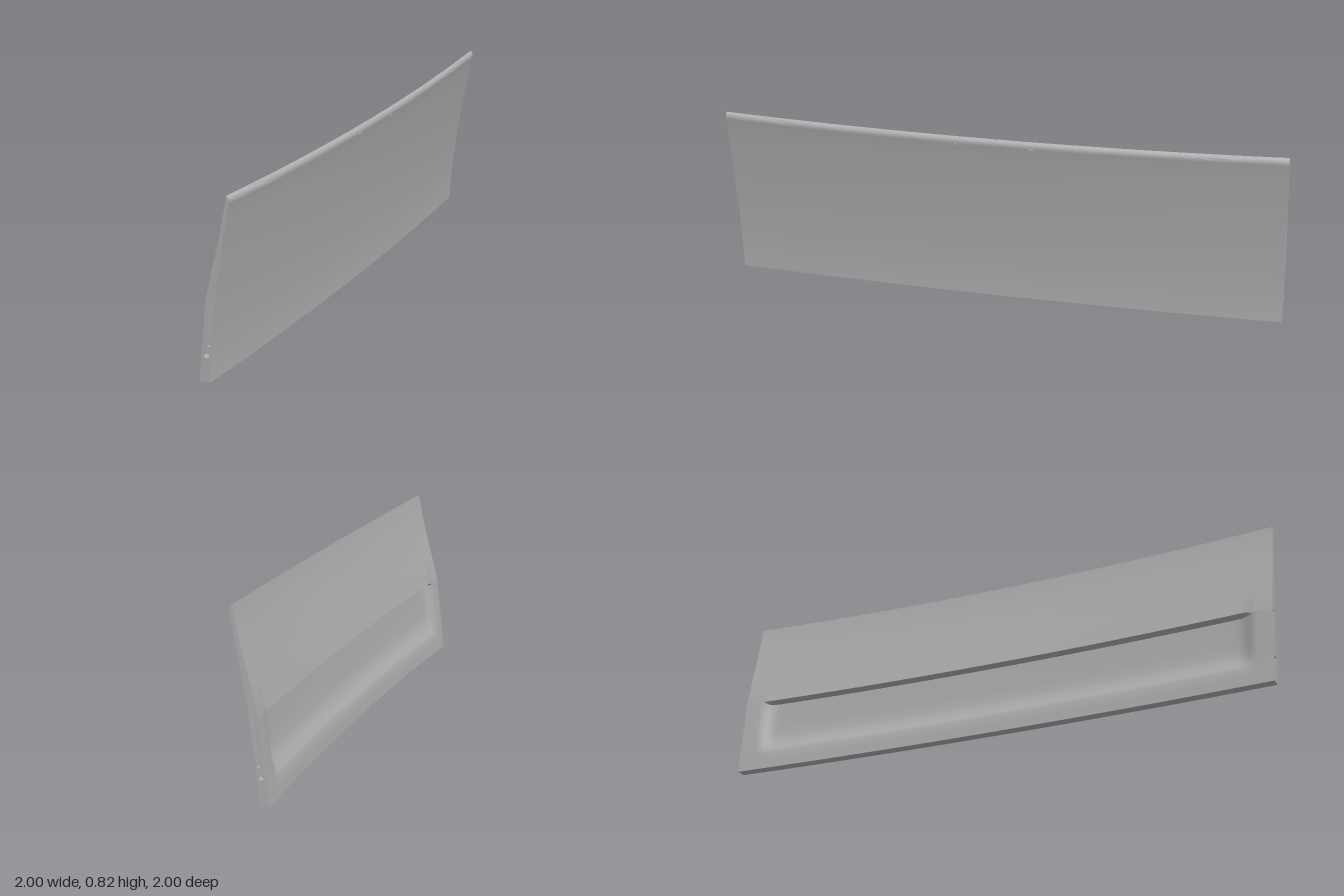
import * as THREE from 'three';
import { toCreasedNormals } from 'three/addons/utils/BufferGeometryUtils.js';

// Local frame: x = outward from the panel, y = up, z = along the panel
const HALF = 1.327, HEIGHT = 0.82;

const frontX = y => -0.035 + 0.113 * Math.pow(y / 0.8, 1.5);
const backX = y => -0.085 + 0.043 * y / 0.37;
const smooth = v => THREE.MathUtils.smoothstep(v, 0, 1);

// Lower back of the panel: [recessed x, y]
const trough = [[-0.014, 0.357], [-0.018, 0.32], [-0.027, 0.24], [-0.034, 0.185],
  [-0.042, 0.155], [-0.058, 0.12], [-0.069, 0.1], [-0.075, 0.085]];

// Closed cross-section, anticlockwise; w is the depth of the trough from 0 to 1
function section(w) {
  const p = [];
  for (let i = 0; i <= 14; i++) p.push([frontX(0.785 * i / 14), 0.785 * i / 14]);
  p.push([0.078, 0.796], [0.076, 0.806], [0.072, 0.814], [0.067, 0.819], [0.063, 0.82]);
  p.push([0.06, 0.8], [0.047, 0.73], [0.022, 0.62], [-0.01, 0.5], [-0.042, 0.37]);
  for (const [x, y] of trough) p.push([THREE.MathUtils.lerp(backX(y), x, w), y]);
  p.push([backX(0.04), 0.04], [-0.085, 0]);
  return p;
}

// Bow the panel outward, dip its top edge and widen it slightly upward
function bow(geo) {
  const p = geo.attributes.position;
  for (let i = 0; i < p.count; i++) {
    const x = p.getX(i), y = p.getY(i), z = p.getZ(i);
    const k = 1 - (z / HALF) ** 2;
    p.setXYZ(i, x + 0.037 * k, y * (1 - 0.018 * k), z * (1 + 0.004 * y / HEIGHT));
  }
  return geo;
}

// Skin joining closed loops of [x, y] placed at the given z stations
function sweep(loopAt, stations) {
  const pos = [], idx = [], n = loopAt(stations[0]).length;
  for (const z of stations) for (const [x, y] of loopAt(z)) pos.push(x, y, z);
  for (let j = 0; j < stations.length - 1; j++) for (let i = 0; i < n; i++) {
    const a = j * n + i, b = j * n + (i + 1) % n;
    idx.push(a, b, b + n, a, b + n, a + n);
  }
  const g = new THREE.BufferGeometry();
  g.setAttribute('position', new THREE.Float32BufferAttribute(pos, 3));
  g.setIndex(idx);
  return g;
}

// Mirror along the panel, keeping faces outward
function mirrored(geo) {
  const g = geo.clone().scale(1, 1, -1), a = g.index.array;
  for (let i = 0; i < a.length; i += 3) [a[i], a[i + 2]] = [a[i + 2], a[i]];
  return g;
}

const finish = geo => {
  geo.deleteAttribute('uv');
  geo.deleteAttribute('normal');
  bow(geo);
  geo.computeVertexNormals();
  return toCreasedNormals(geo, 0.6);
};

export function createModel() {
  const grey = new THREE.MeshStandardMaterial({ color: 0xb0b0b0 });
  grey.name = 'panel grey';
  const model = new THREE.Group();
  model.name = 'curvedPanel';
  const panel = new THREE.Group();
  panel.name = 'panel';
  panel.rotation.y = -Math.PI / 4;
  model.add(panel);
  const add = (name, geo) => {
    const m = new THREE.Mesh(geo, grey);
    m.name = name;
    panel.add(m);
    return m;
  };

  // Main skin with the trough along the lower back
  const stations = [];
  for (let i = -16; i <= 16; i++) stations.push(i / 16 * 1.16);
  for (const z of [1.185, 1.21, 1.235, 1.25, HALF]) { stations.push(z); stations.unshift(-z); }
  add('panelSkin', finish(sweep(z => section(smooth((1.25 - Math.abs(z)) / 0.08)), stations)));

  // Slot and pin hole in each end face
  const slot = [[-0.043, 0.16], [-0.03, 0.16], [-0.018, 0.27], [-0.006, 0.365], [-0.026, 0.365], [-0.036, 0.25]];
  const pin = [];
  for (let i = 0; i < 16; i++) {
    const a = i / 16 * Math.PI * 2;
    pin.push([-0.048 + 0.012 * Math.cos(a), 0.12 + 0.012 * Math.sin(a)]);
  }
  const vectors = loop => loop.map(([x, y]) => new THREE.Vector2(x, y));
  const face = new THREE.Shape(vectors(section(0)));
  face.holes.push(new THREE.Path(vectors(slot)), new THREE.Path(vectors(pin)));

  const parts = [['endFace', new THREE.ShapeGeometry(face).translate(0, 0, HALF)]];
  for (const [name, loop] of [['endSlot', slot], ['pinHole', pin]]) {
    const inward = [...loop].reverse();
    parts.push([name + 'Wall', sweep(() => inward, [HALF - 0.03, HALF])]);
    parts.push([name + 'Floor', new THREE.ShapeGeometry(new THREE.Shape(vectors(loop))).translate(0, 0, HALF - 0.03)]);
  }
  for (const [name, geo] of parts) {
    add(name + 'Right', finish(mirrored(geo)));
    add(name + 'Left', finish(geo));
  }

  // Two small tabs under the top edge
  for (const z of [-0.175, 0.175]) {
    add('edgeTab', new THREE.BoxGeometry(0.006, 0.006, 0.022)).position.set(0.112, 0.772, z);
  }
  return model;
}
